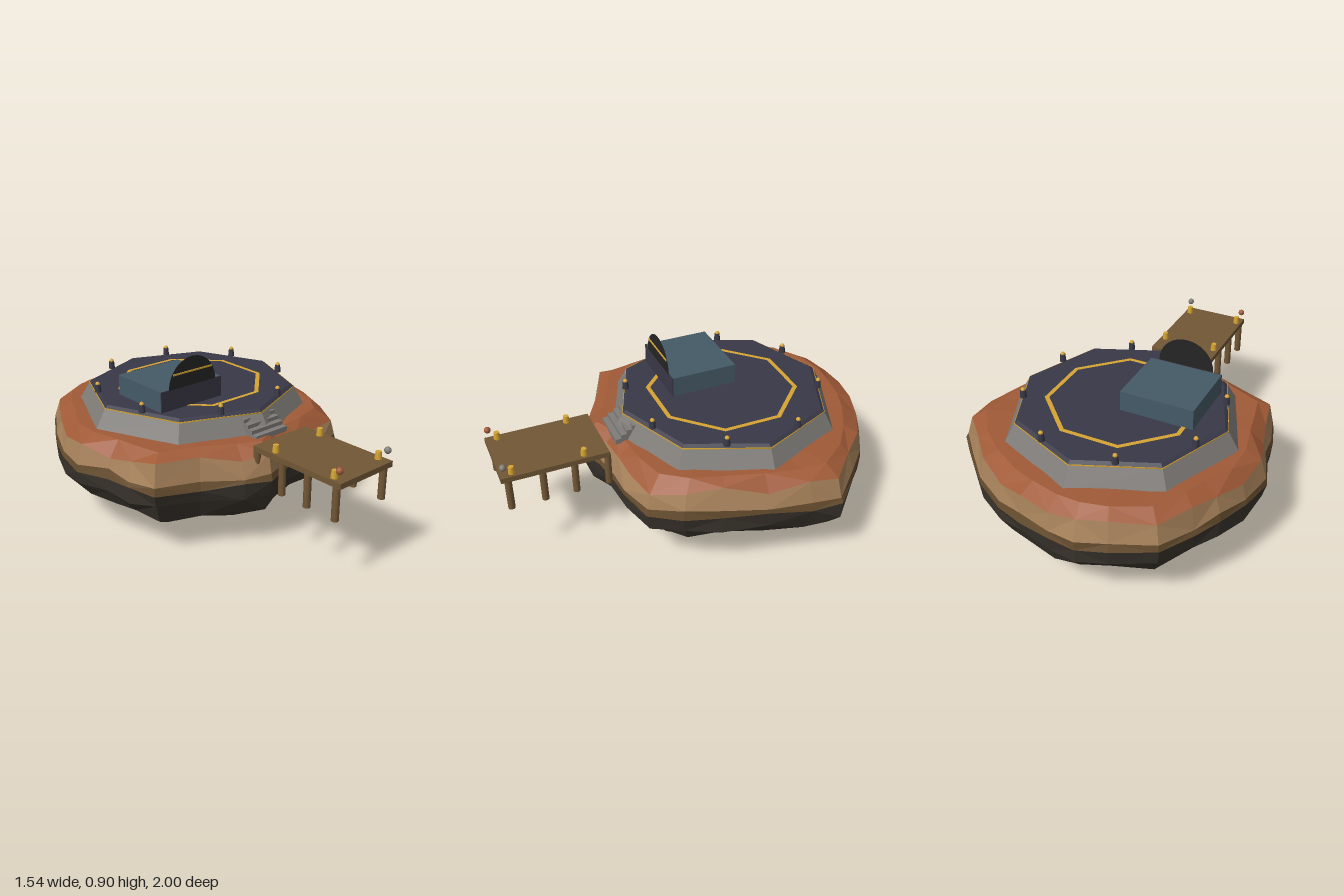
import * as THREE from 'three';

const mat = (name, color, extra = {}) => {
  const m = new THREE.MeshStandardMaterial({ color, ...extra });
  m.name = name;
  return m;
};

export function createModel() {
  const M = {
    rust: mat('rustSoil', 0xa05a37, { flatShading: true }),
    tan: mat('tanRock', 0xa6815a, { flatShading: true }),
    brown: mat('brownRock', 0x664d2e, { flatShading: true }),
    rock: mat('darkRock', 0x3a342d, { flatShading: true }),
    stone: mat('greyStone', 0x7f7c78, { flatShading: true }),
    deck: mat('navyDeck', 0x393847, { flatShading: true }),
    slate: mat('slateBlue', 0x455a67),
    wood: mat('wood', 0x725735),
    yellow: mat('yellow', 0xd5a432),
    black: mat('black', 0x242524, { side: THREE.DoubleSide }),
  };
  const root = new THREE.Group();
  root.name = 'islandLandingPad';
  const add = (name, geo, material, x = 0, y = 0, z = 0, parent = root) => {
    const m = new THREE.Mesh(geo, material);
    m.name = name;
    m.position.set(x, y, z);
    parent.add(m);
    return m;
  };
  const group = (name) => {
    const g = new THREE.Group();
    g.name = name;
    root.add(g);
    return g;
  };
  const box = (name, material, x0, x1, y0, y1, z0, z1, parent) =>
    add(name, new THREE.BoxGeometry(x1 - x0, y1 - y0, z1 - z0), material,
      (x0 + x1) / 2, (y0 + y1) / 2, (z0 + z1) / 2, parent);

  // Island: one irregular outline, scaled and jittered into stacked rings
  const outline = [
    [-0.01, -1], [0.16, -0.96], [0.3, -0.92], [0.48, -0.81], [0.62, -0.68], [0.77, -0.525],
    [0.75, -0.37], [0.7, -0.16], [0.63, 0.06], [0.58, 0.24], [0.48, 0.39], [0.3, 0.44],
    [0.16, 0.45], [0.01, 0.47], [-0.13, 0.53], [-0.26, 0.475], [-0.44, 0.36], [-0.645, 0.27],
    [-0.69, 0.12], [-0.71, -0.02], [-0.77, -0.2], [-0.735, -0.39], [-0.67, -0.56],
    [-0.6, -0.69], [-0.5, -0.86], [-0.3, -0.96], [-0.15, -1],
  ];
  const N = outline.length;
  const hash = (i, k) => {
    const s = Math.sin(i * 12.99 + k * 78.23) * 43758.55;
    return (s - Math.floor(s)) * 2 - 1;
  };
  // Each ring: height, scale, centre x, centre z, height jitter, scale jitter
  const ringAt = (k, y, s, cx, cz, jy, js) => outline.map(([x, z], i) => {
    const f = s + js * hash(i, k);
    return [cx + x * f, y + jy * hash(i, k + 40), cz + (z + 0.235) * f];
  });
  const rings = [
    [0.545, 0, 0, -0.235, 0, 0],
    [0.542, 0.86, 0, -0.235, 0.004, 0.02],
    [0.49, 0.95, 0, -0.235, 0.025, 0.015],
    [0.405, 0.99, 0, -0.235, 0.015, 0.01],
    [0.365, 1, 0, -0.235, 0.012, 0],
    [0.28, 0.98, 0, -0.235, 0.02, 0.015],
    [0.2, 0.9, 0, -0.235, 0.015, 0.03],
    [0.12, 0.73, 0.01, -0.23, 0.015, 0.03],
    [0.05, 0.47, 0.04, -0.21, 0.01, 0.03],
    [0.005, 0.2, 0.08, -0.18, 0.004, 0.02],
    [0, 0, 0.08, -0.18, 0, 0],
  ].map((r, k) => ringAt(k, ...r));
  const strata = (from, to) => {
    const pos = [];
    for (let k = from; k < to; k++) {
      for (let i = 0; i < N; i++) {
        const j = (i + 1) % N, a = rings[k], b = rings[k + 1];
        const tris = (i + k) % 2
          ? [a[i], a[j], b[i], a[j], b[j], b[i]]
          : [a[i], a[j], b[j], a[i], b[j], b[i]];
        tris.forEach((p) => pos.push(...p));
      }
    }
    const g = new THREE.BufferGeometry();
    g.setAttribute('position', new THREE.Float32BufferAttribute(pos, 3));
    g.computeVertexNormals();
    return g;
  };
  const island = group('island');
  add('islandTop', strata(0, 2), M.rust, 0, 0, 0, island);
  add('cliffBand', strata(2, 3), M.tan, 0, 0, 0, island);
  add('cliffEdge', strata(3, 4), M.brown, 0, 0, 0, island);
  add('islandUnderside', strata(4, 10), M.rock, 0, 0, 0, island);

  // Octagonal landing pad
  const CX = -0.012, CZ = -0.23;
  const pad = group('landingPad');
  const octagon = (name, material, rTop, rBottom, y0, y1) =>
    add(name, new THREE.CylinderGeometry(rTop, rBottom, y1 - y0, 8), material, CX, (y0 + y1) / 2, CZ, pad);
  octagon('padFoundation', M.stone, 0.555, 0.615, 0.53, 0.633);
  octagon('padTrim', M.yellow, 0.556, 0.556, 0.617, 0.637);
  octagon('padDeck', M.deck, 0.535, 0.553, 0.637, 0.65);
  const marking = new THREE.RingGeometry(0.375, 0.399, 8, 1, Math.PI / 8);
  marking.rotateX(-Math.PI / 2);
  add('padMarking', marking, M.yellow, CX, 0.653, CZ, pad);

  // Perimeter lamps
  for (let i = 0; i < 8; i++) {
    const a = (i + 0.5) * Math.PI / 4;
    const x = CX + 0.505 * Math.sin(a), z = CZ + 0.505 * Math.cos(a);
    add('lampPost', new THREE.CylinderGeometry(0.014, 0.018, 0.04, 10), M.deck, x, 0.67, z, pad);
    add('lampCap', new THREE.SphereGeometry(0.012, 10, 8), M.yellow, x, 0.692, z, pad);
  }

  // Hangar with an arched panel above its front
  const hangar = group('hangar');
  box('hangarBody', M.slate, -0.417, -0.032, 0.645, 0.757, -0.315, 0.036, hangar);
  box('hangarFront', M.deck, -0.417, -0.032, 0.65, 0.757, 0.036, 0.041, hangar);
  add('hangarArch', new THREE.CircleGeometry(0.148, 24, 0, Math.PI), M.black, -0.222, 0.756, 0.043, hangar);
  box('archStripe', M.yellow, -0.345, -0.1, 0.826, 0.834, 0.044, 0.049, hangar);

  // Front steps
  const steps = group('steps');
  for (let i = 0; i < 4; i++) {
    box('step', M.stone, -0.12, 0.09, 0.53, 0.558 + i * 0.02, 0.25, 0.4 - i * 0.03, steps);
  }

  // Wooden dock
  const dock = group('dock');
  box('dockPlanks', M.wood, -0.193, 0.165, 0.525, 0.553, 0.457, 1, dock);
  for (const x of [-0.175, 0.147]) {
    for (const z of [0.46, 0.63, 0.79, 0.96]) {
      add('dockLeg', new THREE.CylinderGeometry(0.018, 0.018, 0.175, 10), M.wood, x, 0.4425, z + 0.005, dock);
    }
  }
  for (const x of [-0.165, 0.135]) {
    for (const z of [0.58, 0.94]) {
      add('mooringPost', new THREE.CylinderGeometry(0.014, 0.018, 0.038, 10), M.yellow, x, 0.572, z, dock);
    }
  }
  const ball = new THREE.SphereGeometry(0.017, 12, 8);
  add('leftBuoy', ball, M.stone, 0.148, 0.605, 0.98, dock);
  add('rightBuoy', ball, M.rust, -0.18, 0.605, 0.98, dock);

  return root;
}
